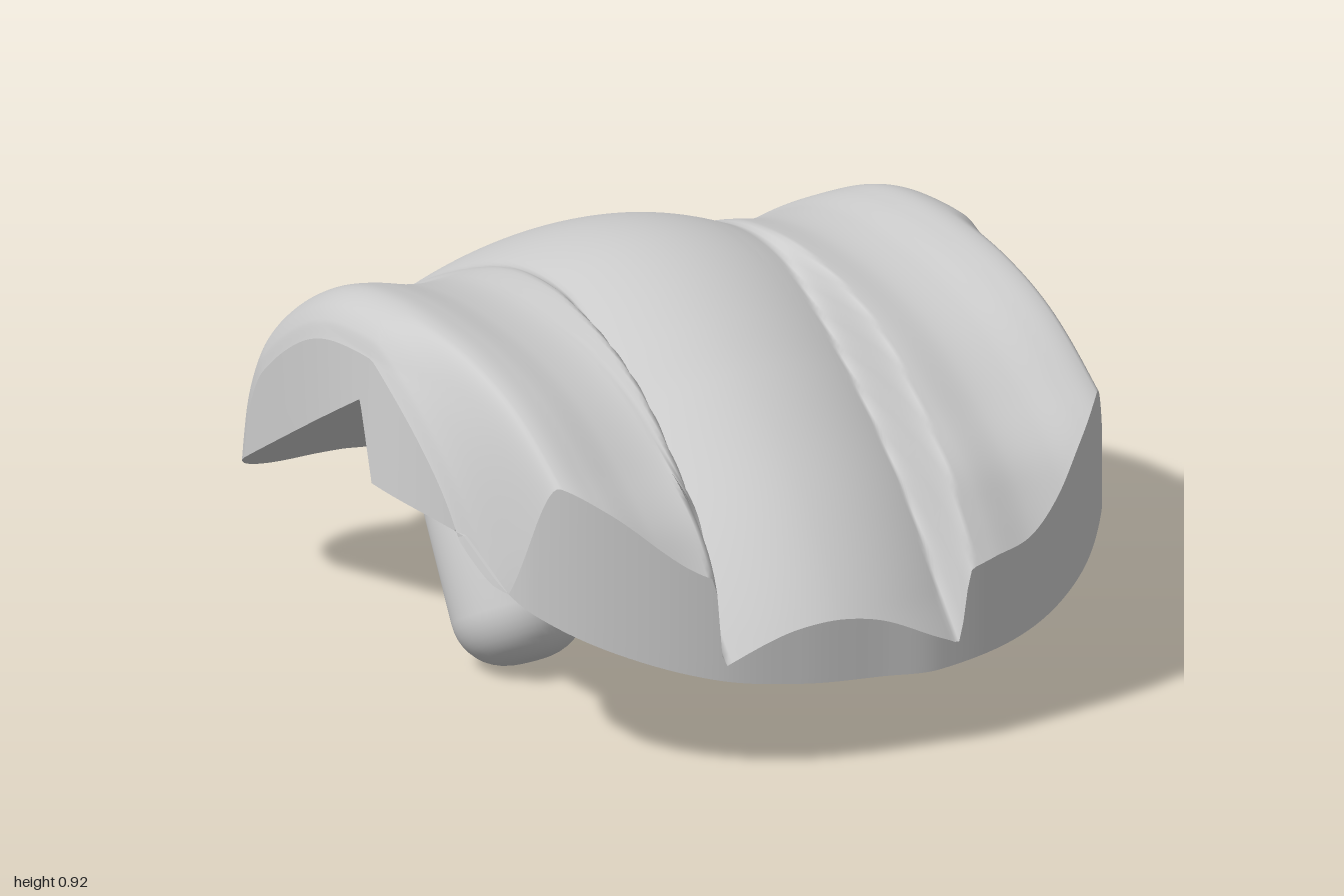
import * as THREE from 'three';

const { clamp, lerp, smoothstep } = THREE.MathUtils;
const HALF = 0.8, COLS = 200, ROWS = 110;

// smooth one-dimensional curve through [input, value] points
function curve1D(pts) {
  const slope = pts.map((p, i) => {
    const a = pts[Math.max(i - 1, 0)], b = pts[Math.min(i + 1, pts.length - 1)];
    return (b[1] - a[1]) / (b[0] - a[0]);
  });
  return (v) => {
    let i = 0;
    while (i < pts.length - 2 && v > pts[i + 1][0]) i++;
    const [x0, y0] = pts[i], [x1, y1] = pts[i + 1];
    const h = x1 - x0, t = clamp((v - x0) / h, 0, 1), t2 = t * t, t3 = t2 * t;
    return (2 * t3 - 3 * t2 + 1) * y0 + (t3 - 2 * t2 + t) * h * slope[i]
      + (3 * t2 - 2 * t3) * y1 + (t3 - t2) * h * slope[i + 1];
  };
}

// side-on profile of [z, y] points, as radius over angle from vertical
const polar = (pts) => curve1D(pts.map(([z, y]) => [Math.atan2(z, y), Math.hypot(z, y)]));

const crest = polar([[-0.8, 0.05], [-0.945, 0.165], [-1, 0.3], [-0.955, 0.41], [-0.85, 0.54], [-0.7, 0.66],
  [-0.5, 0.78], [-0.3, 0.86], [-0.1, 0.893], [0.1, 0.895], [0.3, 0.877], [0.5, 0.825], [0.7, 0.72],
  [0.85, 0.62], [0.93, 0.53], [1, 0.44], [1.1, 0.3], [1.16, 0.2]]);
const middle = polar([[-0.8, 0.05], [-0.95, 0.165], [-1, 0.31], [-0.955, 0.44], [-0.85, 0.57], [-0.7, 0.71],
  [-0.5, 0.83], [-0.3, 0.9], [-0.12, 0.92], [0.1, 0.885], [0.25, 0.835], [0.4, 0.77], [0.6, 0.665],
  [0.8, 0.53], [0.985, 0.355], [1.1, 0.22]]);
// cross-section of each side runner, relative to its crest
const runner = curve1D([[0, -0.02], [0.3, -0.02], [0.42, -0.035], [0.52, -0.028], [0.62, -0.006],
  [0.69, 0], [0.75, -0.022], [0.785, -0.06], [0.8, -0.1]]);
// front outline as z over x
const frontZ = curve1D([[-0.8, 0.45], [-0.785, 0.58], [-0.74, 0.68], [-0.6, 0.81], [-0.4, 0.92], [-0.2, 0.97],
  [0, 0.99], [0.15, 1], [0.4, 0.95], [0.6, 0.84], [0.74, 0.69], [0.785, 0.58], [0.8, 0.48]]);

// outer radius: two side runners with a humped groove between them
function outerR(x, a) {
  const f = clamp(a / 1.22, 0, 1), b = smoothstep(-a, 0.2, 1.2), ax = Math.abs(x);
  const left = -0.27 - 0.105 * f - 0.15 * b, right = 0.28 - 0.085 * f;
  const t = (x - (left + right) / 2) / ((right - left) / 2);
  const depth = lerp(0.06, 0.0875 - 0.0175 * Math.sign(t), f);
  const hump = middle(a) - depth * Math.min(t * t, 1.1);
  // the outer shoulders round off more towards the front and back
  const side = crest(a) + runner(ax) - 0.4 * f * smoothstep(ax, 0.7, 0.8) - 0.09 * b * smoothstep(ax, 0.57, 0.8);
  const width = lerp(0.04, 0.25, b);
  const r = lerp(hump, side, smoothstep(Math.max(left - x, x - right), 0, width));
  // the right runner ends shorter at the back
  return r - 0.15 * smoothstep(-a, 0.75, 1.3) * smoothstep(-x, 0.05, 0.68);
}

// underside: sloped front, flat middle, sloped back, with a notch from each peg to the side
const FLAT = 0.515, SLOPE = 0.58, Z1 = 0.45, Z2 = -0.34, PEG_X = 0.45;
const NOTCH = [0.05, FLAT], APEX = [-0.04, 0.69];
const underY = (z) => FLAT - SLOPE * Math.max(0, z - Z1, Z2 - z);
function underR(a) {
  const s = Math.abs(Math.sin(a)), c = Math.cos(a);
  return Math.min(FLAT / c, (FLAT + SLOPE * (a > 0 ? Z1 : -Z2)) / (c + SLOPE * s));
}
function notchedR(a) {
  const s = Math.sin(a), c = Math.cos(a);
  if (a < Math.atan2(Z2, FLAT) || a > Math.atan2(...NOTCH)) return underR(a);
  if (a < Math.atan2(...APEX)) return (FLAT - SLOPE * Z2) / (c - SLOPE * s);
  const dz = NOTCH[0] - APEX[0], dy = APEX[1] - NOTCH[1];
  return (dy * NOTCH[0] + dz * NOTCH[1]) / (dy * s + dz * c);
}

function bisect(lo, hi, test) {
  for (let i = 0; i < 36; i++) {
    const m = (lo + hi) / 2;
    if (test(m)) lo = m; else hi = m;
  }
  return lo;
}

// place a point, narrowing the back and leaning the walls out near the middle
function place(x, y, z) {
  const back = clamp((-z - 0.2) / 0.75, 0, 1);
  const lean = 0.035 * clamp((0.8 - y) / 0.29, 0, 1) * Math.exp(-(((z - 0.06) / 0.3) ** 2));
  return [x * (1 + lean - 0.08 * back * back), y, z];
}
const atAngle = (x, r, a) => place(x, r * Math.cos(a), r * Math.sin(a));

// grid of quads from a point function
function grid(nu, nv, point) {
  const pos = [], index = [];
  for (let j = 0; j <= nv; j++) for (let i = 0; i <= nu; i++) pos.push(...point(i, j));
  for (let j = 0; j < nv; j++) {
    for (let i = 0; i < nu; i++) {
      const a = j * (nu + 1) + i, c = a + nu + 1;
      index.push(a, c, a + 1, a + 1, c, c + 1);
    }
  }
  const g = new THREE.BufferGeometry();
  g.setAttribute('position', new THREE.Float32BufferAttribute(pos, 3));
  g.setIndex(index);
  g.computeVertexNormals();
  return g;
}

export function createModel() {
  const group = new THREE.Group();
  const material = new THREE.MeshStandardMaterial({ color: 0xcccccc, side: THREE.DoubleSide });
  const add = (name, geometry) => {
    const mesh = new THREE.Mesh(geometry, material);
    mesh.name = name;
    group.add(mesh);
    return mesh;
  };

  // cross-section limits for every column
  const columns = Array.from({ length: COLS + 1 }, (_, i) => {
    const x = HALF * Math.sin((i / COLS - 0.5) * Math.PI), zf = frontZ(x);
    const end = Math.atan2(zf, underY(zf));
    return {
      x, zf, end,
      start: bisect(-1, -1.48, (a) => outerR(x, a) > underR(a)),
      edge: bisect(0, end, (a) => outerR(x, a) * Math.sin(a) < zf),
    };
  });

  add('bearingSurface', grid(COLS, ROWS, (i, j) => {
    const c = columns[i], a = lerp(c.start, c.edge, j / ROWS);
    return atAngle(c.x, outerR(c.x, a), a);
  }));

  add('frontRim', grid(COLS, 6, (i, j) => {
    const c = columns[i], a = lerp(c.edge, c.end, j / 6);
    return place(c.x, c.zf / Math.tan(a), c.zf);
  }));

  // underside facets, each running between two [z, y] points per column
  const facet = (name, list, from, to) => add(name, grid(list.length - 1, 12, (i, j) => {
    const c = list[i], p = from(c), q = to(c), t = j / 12;
    return place(c.x, lerp(p[1], q[1], t), lerp(p[0], q[0], t));
  }));
  const front = (c) => [c.zf, underY(c.zf)];
  const frontFold = (c) => [Math.min(Z1, c.zf), FLAT];
  const back = (c) => [underR(c.start) * Math.sin(c.start), underR(c.start) * Math.cos(c.start)];
  facet('frontUnderside', columns, front, frontFold);

  const inner = columns.findIndex((c) => c.x > -PEG_X), outer = COLS - inner;
  const middleColumns = columns.slice(inner, outer + 1);
  facet('middleUnderside', middleColumns, frontFold, () => [Z2, FLAT]);
  facet('backUnderside', middleColumns, () => [Z2, FLAT], back);
  for (const [side, list] of [['right', columns.slice(0, inner + 1)], ['left', columns.slice(outer)]]) {
    facet(side + 'Underside', list, frontFold, () => NOTCH);
    facet(side + 'NotchFace', list, () => NOTCH, () => APEX);
    facet(side + 'BackUnderside', list, () => APEX, back);
  }

  // side walls
  for (const [name, c, flip] of [['leftWall', columns[COLS], true], ['rightWall', columns[0], false]]) {
    add(name, grid(ROWS, 8, (i, j) => {
      const a = lerp(c.start, c.end, (flip ? ROWS - i : i) / ROWS);
      const top = a > c.edge ? c.zf / Math.sin(a) : outerR(c.x, a);
      return atAngle(c.x, lerp(top, notchedR(a), j / 8), a);
    }));
  }

  // slanted round-ended pegs
  const profile = [new THREE.Vector2(0, 0)];
  for (let k = 0; k <= 10; k++) {
    const t = (k / 10) * Math.PI / 2;
    profile.push(new THREE.Vector2(0.035 + 0.123 * Math.sin(t), 0.123 - 0.123 * Math.cos(t)));
  }
  profile.push(new THREE.Vector2(0.158, 0.66), new THREE.Vector2(0, 0.66));
  const pegGeometry = new THREE.LatheGeometry(profile, 40);
  for (const s of [1, -1]) {
    const peg = add(s > 0 ? 'leftPeg' : 'rightPeg', pegGeometry);
    peg.position.set(PEG_X * s, 0.034, 0.125);
    peg.rotation.x = -Math.PI / 6;
  }
  return group;
}
